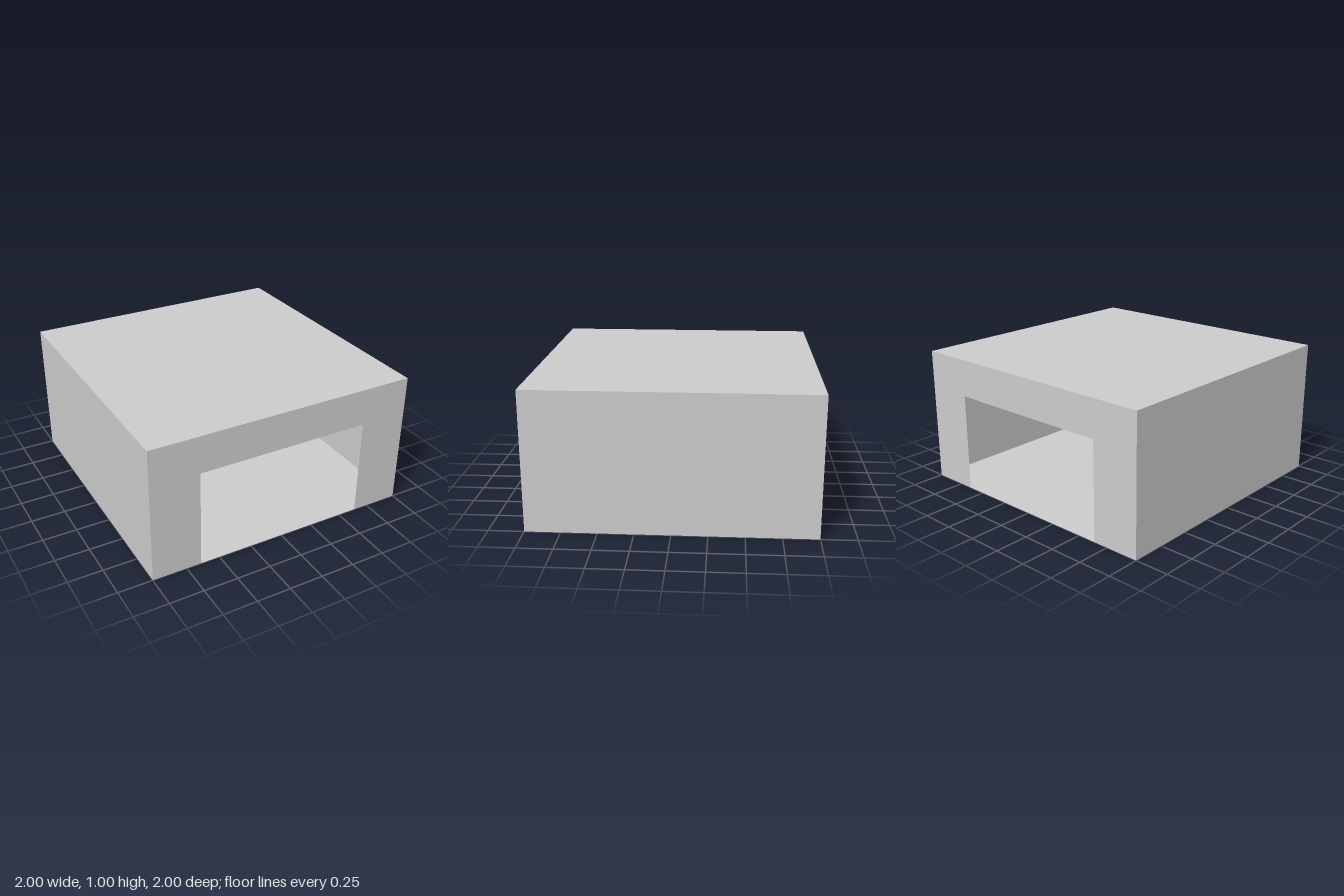
import * as THREE from 'three';

// Thin-walled hollow block: closed sides, floor and roof, with a doorway at each end
const HALF = 1, HEIGHT = 1, DOOR_HALF = 0.64, DOOR_HEIGHT = 0.725;

export function createModel() {
  const group = new THREE.Group();
  const material = new THREE.MeshStandardMaterial({
    color: 0xcccccc, flatShading: true, side: THREE.DoubleSide,
  });

  const add = (name, geometry) => {
    const mesh = new THREE.Mesh(geometry, material);
    mesh.name = name;
    group.add(mesh);
    return mesh;
  };

  // Floor and roof panels
  const slab = () => new THREE.PlaneGeometry(2 * HALF, 2 * HALF);
  add('floor', slab().rotateX(Math.PI / 2));
  add('roof', slab().rotateX(-Math.PI / 2).translate(0, HEIGHT, 0));

  // Solid side walls
  for (const [name, s] of [['leftWall', 1], ['rightWall', -1]]) {
    add(name, new THREE.PlaneGeometry(2 * HALF, HEIGHT)
      .rotateY(s * Math.PI / 2).translate(s * HALF, HEIGHT / 2, 0));
  }

  // End walls, each an arch around a rectangular doorway
  const arch = new THREE.Shape([
    [-HALF, 0], [-DOOR_HALF, 0], [-DOOR_HALF, DOOR_HEIGHT], [DOOR_HALF, DOOR_HEIGHT],
    [DOOR_HALF, 0], [HALF, 0], [HALF, HEIGHT], [-HALF, HEIGHT],
  ].map(([x, y]) => new THREE.Vector2(x, y)));
  for (const [name, turn] of [['frontWall', 0], ['backWall', Math.PI]]) {
    add(name, new THREE.ShapeGeometry(arch).translate(0, 0, HALF).rotateY(turn));
  }

  return group;
}
